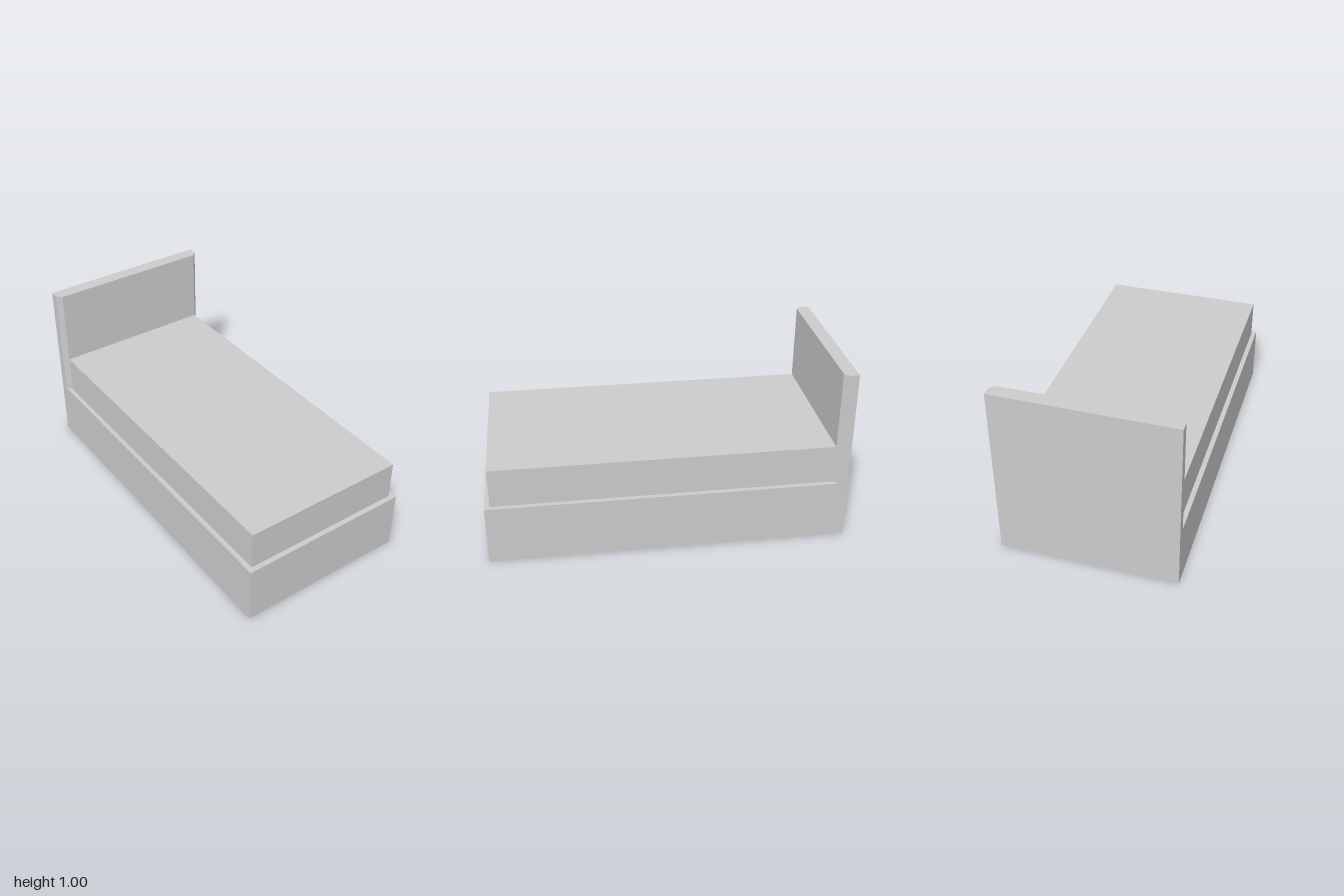
import * as THREE from 'three';

const material = new THREE.MeshStandardMaterial({
  color: 0xcccccc, flatShading: true, side: THREE.DoubleSide,
});

// Plan dimensions (x half-widths, z depths) and heights
const W = 0.494, w = 0.467;
const BACK = -1, FRONT = 1, CHAMFER = -0.95, HEAD = -0.922, FOOT = 0.971;
const LEDGE = 0.337, TOP = 0.559, CREST = 1;

function part(name, geometry) {
  const mesh = new THREE.Mesh(geometry, material);
  mesh.name = name;
  return mesh;
}

// Upright wall following plan points [x, z], counter-clockwise seen from above
function wall(name, points, y0, y1) {
  const pos = [];
  for (let i = 0; i < points.length - 1; i++) {
    const [ax, az] = points[i], [bx, bz] = points[i + 1];
    pos.push(ax, y0, az, bx, y0, bz, bx, y1, bz);
    pos.push(ax, y0, az, bx, y1, bz, ax, y1, az);
  }
  const g = new THREE.BufferGeometry();
  g.setAttribute('position', new THREE.Float32BufferAttribute(pos, 3));
  g.computeVertexNormals();
  return part(name, g);
}

// Level sheet with a plan outline of [x, z] points
function sheet(name, points, y) {
  const shape = new THREE.Shape(points.map(([x, z]) => new THREE.Vector2(x, -z)));
  const g = new THREE.ShapeGeometry(shape);
  g.rotateX(-Math.PI / 2);
  g.translate(0, y, 0);
  return part(name, g);
}

export function createModel() {
  const bed = new THREE.Group();
  bed.name = 'bed';

  // Hollow base, open underneath
  const base = [[W, FRONT], [W, BACK], [-W, BACK], [-W, FRONT], [W, FRONT]];
  bed.add(wall('baseSides', base, 0, LEDGE));

  // Mattress: three sides up to the headboard, and its top
  const mattress = [[-w, HEAD], [-w, FOOT], [w, FOOT], [w, HEAD]];
  bed.add(wall('mattressSides', mattress, LEDGE, TOP));
  bed.add(sheet('mattressTop', mattress, TOP));

  // Narrow ledge around the mattress
  bed.add(sheet('baseLedge', [
    [-W, CHAMFER], [-W, FRONT], [W, FRONT], [W, CHAMFER],
    [w, HEAD], [w, FOOT], [-w, FOOT], [-w, HEAD],
  ], LEDGE));

  // Headboard with chamfered front corners
  const headboard = [
    [w, HEAD], [W, CHAMFER], [W, BACK], [-W, BACK], [-W, CHAMFER], [-w, HEAD],
  ];
  bed.add(wall('headboardSides', headboard, LEDGE, CREST));
  bed.add(wall('headboardFront', [[-w, HEAD], [w, HEAD]], TOP, CREST));
  bed.add(sheet('headboardTop', headboard, CREST));

  return bed;
}
